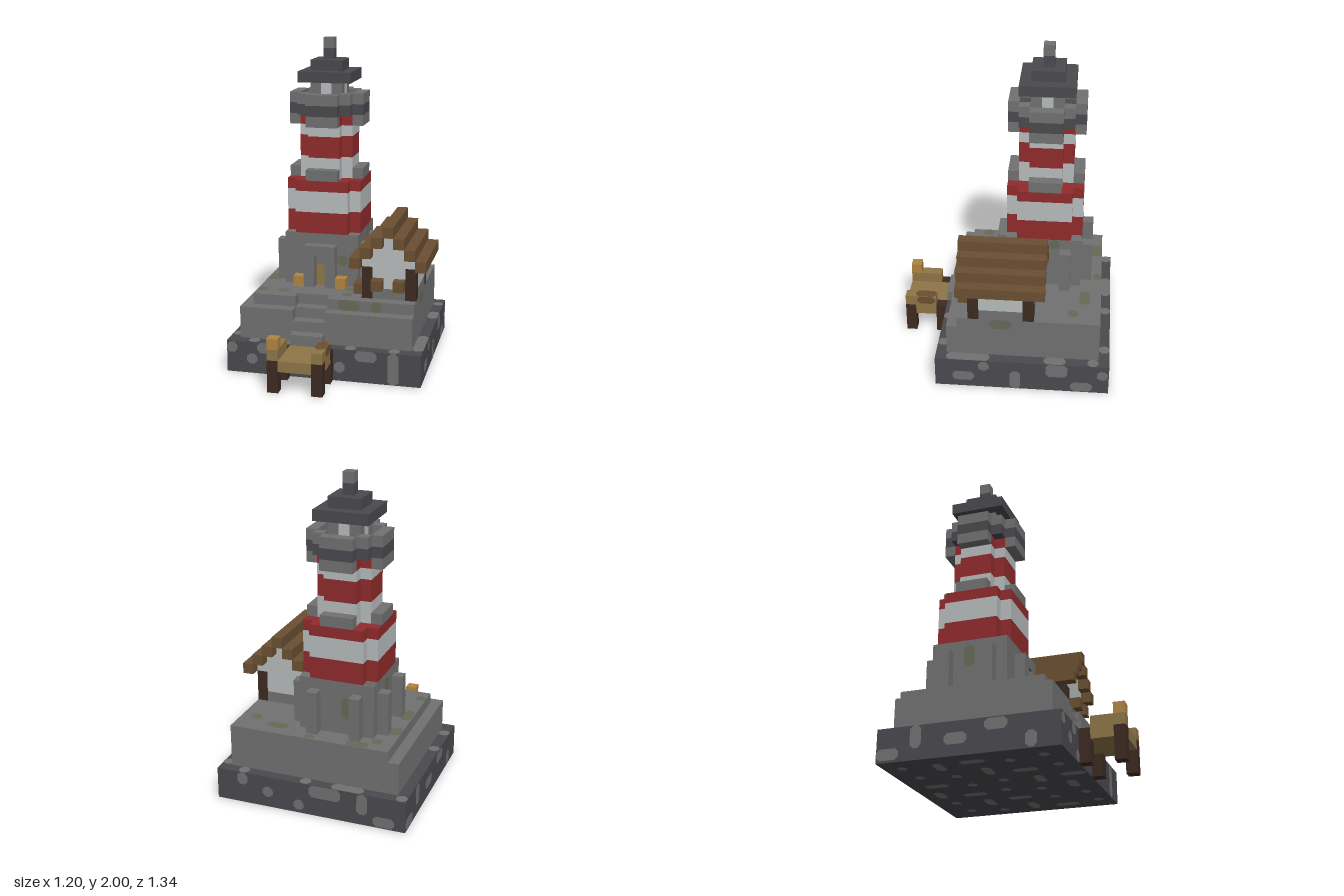
import * as THREE from 'three';

const U = 1 / 15; // one block
const paint = (name, hex) => {
  const m = new THREE.MeshStandardMaterial({ color: hex });
  m.name = name;
  return m;
};

export function createModel() {
  const stone = paint('stone', 0x717171), dark = paint('dark stone', 0x4a494f);
  const moss = paint('moss', 0x666a57), red = paint('red', 0x902b2c);
  const white = paint('white', 0xb8bcbd), brown = paint('brown wood', 0x6b5032);
  const bark = paint('dark wood', 0x3c2b21), tan = paint('tan wood', 0x8e7547);
  const amber = paint('amber', 0xb08642);

  const root = new THREE.Group();
  root.name = 'lighthouse';
  // Everything below is in block units: x 0..18, y 0..30, z 0..20
  const world = new THREE.Group();
  world.name = 'island';
  world.scale.setScalar(U);
  world.position.set(-9 * U, 0, -10 * U);
  root.add(world);

  const add = (name, geo, mat, x, y, z) => {
    const m = new THREE.Mesh(geo, mat);
    m.name = name;
    m.position.set(x, y, z);
    world.add(m);
    return m;
  };
  const box = (name, mat, x0, x1, y0, y1, z0, z1) =>
    add(name, new THREE.BoxGeometry(x1 - x0, y1 - y0, z1 - z0), mat,
      (x0 + x1) / 2, (y0 + y1) / 2, (z0 + z1) / 2);

  // Stepped outline: one quarter's corners turned four times
  const outline = (quarter) => {
    const pts = [];
    for (let q = 0; q < 4; q++) {
      for (const [x, y] of quarter) {
        const p = new THREE.Vector2(x, y).rotateAround(new THREE.Vector2(), q * Math.PI / 2);
        pts.push(p);
      }
    }
    return pts;
  };
  const CX = 7.5, CZ = 6.5; // tower axis
  const tier = (name, mat, quarter, y0, y1, hole) => {
    const s = new THREE.Shape(outline(quarter));
    if (hole) s.holes.push(new THREE.Path(outline(hole)));
    const g = new THREE.ExtrudeGeometry(s, { depth: y1 - y0, bevelEnabled: false });
    g.rotateX(-Math.PI / 2);
    return add(name, g, mat, CX, y0, CZ);
  };

  // Thin rounded patch lying on a face; [x, y, z] centre, w by h
  const turn = {
    front: [0, 0], right: [0, 1], back: [0, 2], left: [0, -1], top: [-1, 0], bottom: [1, 0],
  };
  const patch = (name, mat, face, x, y, z, w, h) => {
    const r = 0.3, a = w / 2, b = h / 2, s = new THREE.Shape();
    s.moveTo(-a + r, -b).lineTo(a - r, -b).lineTo(a, -b + r).lineTo(a, b - r);
    s.lineTo(a - r, b).lineTo(-a + r, b).lineTo(-a, b - r).lineTo(-a, -b + r);
    const g = new THREE.ShapeGeometry(s);
    g.translate(0, 0, 0.03);
    g.rotateX(turn[face][0] * Math.PI / 2).rotateY(turn[face][1] * Math.PI / 2);
    add(name, g, mat, x, y, z);
  };

  // Rock base and terraces
  box('rockBase', dark, 0, 18, 0, 3, 0, 16);
  box('lowerTerrace', stone, 1, 17, 3, 5, 1, 15);
  box('terraceBack', stone, 1, 17, 5, 6, 1, 14);
  for (const [a, b] of [[1, 6], [9, 17]]) box('terraceFront', stone, a, b, 5, 6, 14, 15);
  box('upperTerrace', stone, 2, 17, 6, 7, 1, 13);
  for (const [a, b] of [[2, 6], [9, 17]]) box('upperTerraceFront', stone, a, b, 6, 7, 13, 14);
  box('bottomStep', stone, 6, 9, 3, 4, 15, 16);

  // Pale patches on the base sides: [position along, y, w, h]
  const sidePatches = {
    front: [[0.5, 2.4, 1, 1], [2.4, 1.4, 1, 1], [3.5, 2.5, 1.2, 1], [4.6, 0.5, 1, 1], [7.6, 1.4, 1, 1],
      [10.6, 1.3, 1, 1], [13, 2.5, 2, 1], [15.5, 1.5, 1, 3]],
    back: [[2, 0.6, 2, 1], [4, 2, 1, 2], [7.5, 2.4, 3, 1.2], [10, 0.8, 1, 1], [13, 1.5, 1, 1], [15.5, 2.4, 1, 1.2]],
    right: [[0.6, 2, 1, 1], [2.5, 0.6, 2, 1], [4.8, 2.3, 2, 1.4], [8.6, 1, 1, 2], [11.5, 2.4, 1, 1], [13.4, 1.2, 2, 1]],
    left: [[1, 0.7, 2, 1], [3.5, 2, 1, 2], [7, 1.5, 2, 1], [10.5, 2.4, 2, 1], [13.5, 0.8, 1, 1.4]],
  };
  for (const face in sidePatches) {
    for (const [p, y, w, h] of sidePatches[face]) {
      const at = { front: [p, y, 16], back: [p, y, 0], right: [18, y, p], left: [0, y, p] }[face];
      patch('rockPatch', stone, face, ...at, w, h);
    }
  }
  // Pale patches on the rim: [x, z, w, h]
  for (const [x, z, w, h] of [[0.5, 0.5, 1, 1], [5.5, 0.5, 3, 1], [9.5, 0.5, 1, 1], [15.5, 0.5, 1, 1],
    [17.5, 1.5, 1, 1], [17.5, 5, 1, 2], [17.5, 13, 1, 4], [0.5, 10.5, 1, 1], [0.5, 14, 1, 1],
    [2.5, 15.5, 1, 1], [5, 15.5, 2, 1], [11.5, 15.5, 1, 1], [15.5, 15.5, 1, 1]]) {
    patch('rimPatch', stone, 'top', x, 3, z, w, h);
  }
  // Scattered patches underneath
  for (let i = 0; i < 6; i++) {
    for (let j = 0; j < 5; j++) {
      const k = (i * 7 + j * 5) % 4;
      patch('undersidePatch', stone, 'bottom', 1.8 + i * 2.8 + (j % 2) * 0.6, 0, 1.6 + j * 3.1 + (i % 3) * 0.4,
        k === 1 ? 2 : 0.9, k === 2 ? 2.2 : 0.9);
    }
  }
  // Moss on the terrace
  for (const [x, z, w, h] of [[5, 1.5, 2, 1], [9.5, 1.4, 1, 0.8], [13, 2.5, 2, 1], [15.5, 3.5, 1, 1],
    [3.5, 2.5, 1, 1], [3, 5, 2, 1.4], [2.6, 8.5, 1, 2], [2.5, 12.5, 1, 1], [4.5, 12.5, 1, 1],
    [10.5, 11, 1, 1], [10.5, 12.5, 1, 1]]) {
    patch('terraceMoss', moss, 'top', x, 7, z, w, h);
  }
  patch('frontMoss', moss, 'front', 11, 6.5, 14, 2, 1);
  patch('frontMoss', moss, 'front', 13.5, 6.5, 14, 1, 1);
  patch('sideMoss', moss, 'right', 17, 6.5, 10, 2, 1);
  patch('towerMoss', moss, 'front', 9.5, 9.5, 10, 1, 1);
  patch('towerMoss', moss, 'right', 11, 11.5, 5.5, 1, 1);
  patch('towerMoss', moss, 'back', 6.5, 9.5, 3, 1, 2);
  patch('towerMoss', moss, 'left', 4, 10.5, 6.5, 1, 2);
  patch('towerMoss', moss, 'top', 4.5, 12, 3.5, 1, 1);

  // Tower foot with buttresses
  box('towerFoot', stone, 4, 11, 7, 12, 3, 10);
  for (const s of [-1, 1]) {
    const x = CX + s * 2, z = CZ + s * 2;
    box('backButtress', stone, x - 0.5, x + 0.5, 7, 11, 2, 3);
    for (const e of [3, 11]) box('sideButtress', stone, e, e + 1, 7, 11, z - 0.5, z + 0.5);
    box('lamp', amber, x - 0.5, x + 0.5, 7, 8, 10, 11);
    box('doorPost', stone, CX + s - 0.5, CX + s + 0.5, 7, 10, 10, 11);
  }
  box('doorLintel', stone, 6, 9, 10, 11, 10, 11);
  box('door', tan, 7, 8, 7, 9, 10, 10.1);

  // Banded shaft
  const wide = [[3.5, 2.5], [2.5, 2.5], [2.5, 3.5]];
  const slim = [[2.5, 1.5], [1.5, 1.5], [1.5, 2.5]];
  const deck = [[3.5, 1.5], [2.5, 1.5], [2.5, 2.5], [1.5, 2.5], [1.5, 3.5]];
  for (const [mat, prof, y0, y1] of [[red, wide, 12, 14], [white, wide, 14, 16], [red, wide, 16, 17],
    [white, slim, 17, 19], [red, slim, 19, 21], [white, slim, 21, 22], [red, slim, 22, 23]]) {
    tier('shaftBand', mat, prof, y0, y1);
  }
  // Ledges and gallery brackets on all four sides
  for (const y of [17, 22]) {
    for (const s of [-3, 3]) {
      box('ledge', stone, CX + s - 0.5, CX + s + 0.5, y, y + 1, CZ - 1.5, CZ + 1.5);
      box('ledge', stone, CX - 1.5, CX + 1.5, y, y + 1, CZ + s - 0.5, CZ + s + 0.5);
    }
  }
  tier('galleryFloor', dark, deck, 23, 24);
  tier('galleryRail', stone, deck, 24, 25, slim);

  // Lantern room, roof and finial
  for (const sx of [-1, 1]) for (const sz of [-1, 1]) {
    box('lanternPost', stone, CX + sx - 0.5, CX + sx + 0.5, 24, 26, CZ + sz - 0.5, CZ + sz + 0.5);
  }
  box('lanternGlass', white, 6, 9, 24, 26, 6, 7);
  box('lanternGlass', white, 7, 8, 24, 26, 5, 8);
  box('roofBrim', dark, 5, 10, 26, 27, 4, 9);
  box('roofTop', dark, 6, 9, 27, 28, 5, 8);
  box('finialBase', dark, 7, 8, 28, 29, 6, 7);
  box('finial', stone, 7, 8, 29, 30, 6, 7);

  // Cottage
  for (const x of [12, 16]) for (const z of [7, 12]) box('cornerPost', bark, x, x + 1, 7, 10, z, z + 1);
  box('cottageFooting', stone, 13, 16, 7, 8, 7, 13);
  box('cottageWall', white, 13, 16, 8, 10, 7, 13);
  for (const x of [12, 16]) {
    box('sideFooting', stone, x, x + 1, 7, 8, 8, 12);
    box('sideWall', white, x, x + 1, 8, 10, 8, 12);
  }
  for (let i = 0; i < 3; i++) box('gable', white, 12 + i, 17 - i, 10 + i, 11 + i, 7, 13);
  for (let i = 0; i < 7; i++) {
    const y = 13 - Math.abs(i - 3);
    box('roofBeam', brown, 11 + i, 12 + i, y, y + 1, 6, 14);
  }
  for (const x of [13, 15]) box('windowBox', brown, x, x + 1, 8, 9, 13, 14);
  box('logPile', brown, 11, 12, 7, 8, 10, 12);

  // Jetty
  box('jettyDeck', tan, 6, 9, 2, 3, 16, 20);
  for (const x of [5, 9]) {
    box('jettyEdge', tan, x, x + 1, 2, 3, 17, 19);
    box('jettyRail', tan, x, x + 1, 3, 4, 17, 20);
    for (const z of [16, 19]) box('jettyPost', bark, x, x + 1, 0, 3, z, z + 1);
  }
  box('jettyLamp', amber, 5, 6, 4, 5, 19, 20);
  patch('railStain', brown, 'top', 9.5, 4, 18, 1, 2);
  patch('railStain', brown, 'right', 10, 3.6, 18, 1.8, 0.8);
  return root;
}
